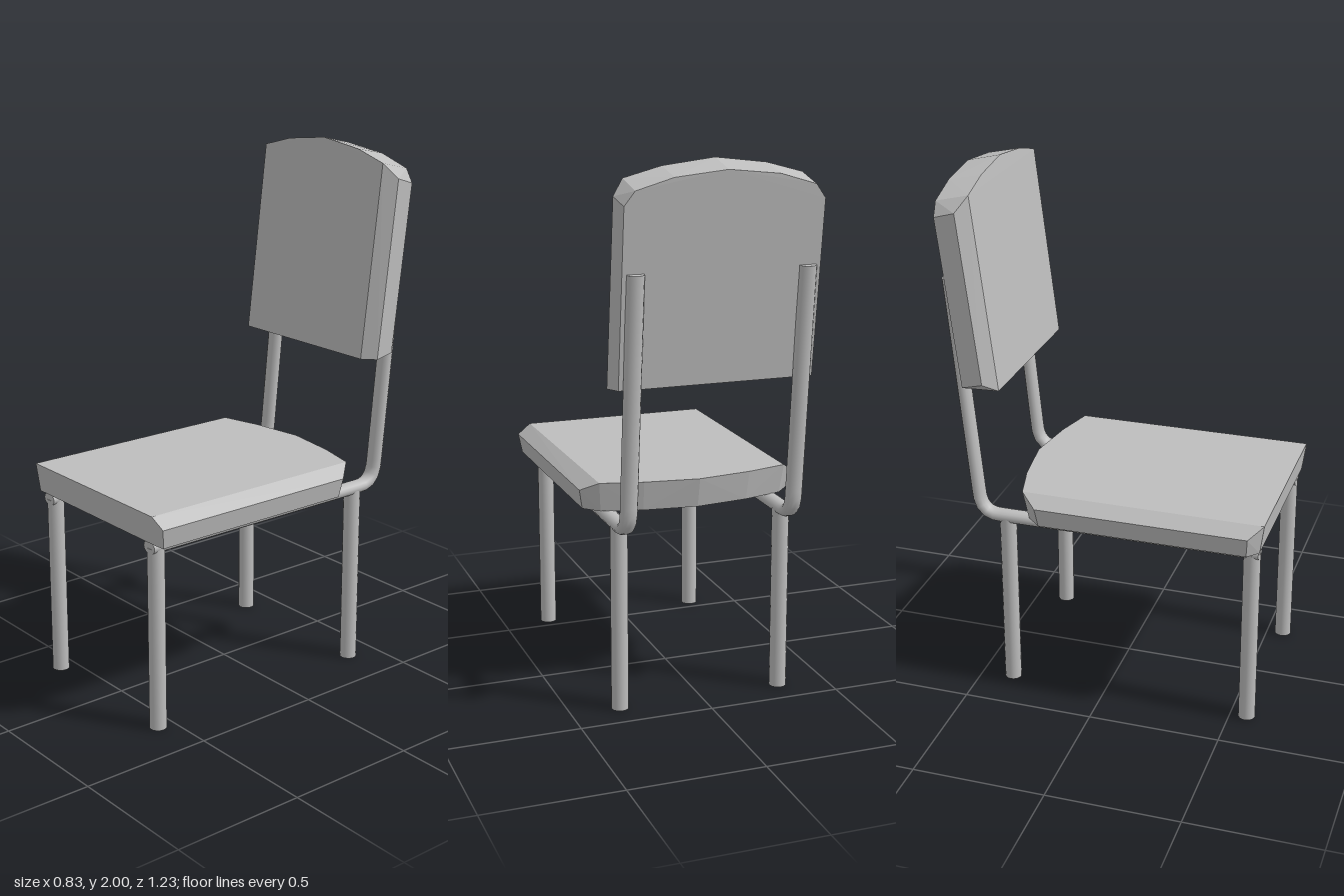
import * as THREE from 'three';
import { ConvexGeometry } from 'three/addons/geometries/ConvexGeometry.js';

const grey = new THREE.MeshStandardMaterial({ color: 0xbebebe });
grey.name = 'grey';

const vectors = (points) => points.map((p) => new THREE.Vector3(...p));

function add(parent, name, geometry) {
  const mesh = new THREE.Mesh(geometry, grey);
  mesh.name = name;
  parent.add(mesh);
  return mesh;
}

// Mirror points that lie off the centre line
const mirrored = (points) => points.flatMap(([x, y, z]) => (x ? [[x, y, z], [-x, y, z]] : [[x, y, z]]));

// Bowed at the back, bevelled along both sides
function seatGeometry() {
  return new ConvexGeometry(vectors([
    ...mirrored([
      [0.363, 0.838, 0.615], [0.36, 0.838, -0.3], [0.205, 0.838, -0.34], [0, 0.838, -0.368],
      [0.415, 0.8, -0.235],
      [0.36, 0.727, 0.6], [0.402, 0.727, -0.225], [0.35, 0.727, -0.28], [0.2, 0.727, -0.32], [0, 0.727, -0.345],
    ]),
    [0.415, 0.8, 0.606], [0.402, 0.727, 0.596],
    [-0.415, 0.8, 0.566], [-0.402, 0.727, 0.56],
  ]));
}

// Leaning cushion with an arched top
function backrestGeometry() {
  return new ConvexGeometry(vectors([
    ...mirrored([
      [0.327, 1.215, -0.393], [0.327, 1.94, -0.481], [0.19, 1.977, -0.486], [0, 2, -0.489],
      [0.373, 1.885, -0.518],
      [0.36, 1.225, -0.522], [0.362, 1.86, -0.6], [0.325, 1.91, -0.606], [0.19, 1.95, -0.611], [0, 1.97, -0.615],
    ]),
    [0.373, 1.215, -0.435], [-0.373, 1.25, -0.439],
  ]));
}

// Seat rail that bends up into the back post, slightly wider than deep
function railGeometry() {
  const path = new THREE.CurvePath();
  const [front, bendIn, corner, bendOut, top] = vectors([
    [0, 0.704, 0.592], [0, 0.704, -0.41], [0, 0.704, -0.482], [0, 0.78, -0.49], [0, 1.63, -0.573],
  ]);
  path.add(new THREE.LineCurve3(front, bendIn));
  path.add(new THREE.QuadraticBezierCurve3(bendIn, corner, bendOut));
  path.add(new THREE.LineCurve3(bendOut, top));
  return new THREE.TubeGeometry(path, 64, 0.025, 14, false).scale(1.28, 1, 1);
}

export function createModel() {
  const chair = new THREE.Group();
  chair.name = 'chair';
  add(chair, 'seat', seatGeometry());
  add(chair, 'backrest', backrestGeometry());

  const rail = railGeometry();
  const cap = new THREE.CircleGeometry(0.025, 14).scale(1.28, 1, 1);
  const leg = new THREE.CylinderGeometry(0.032, 0.032, 0.7, 16);
  for (const [side, x] of [['left', 0.314], ['right', -0.314]]) {
    add(chair, side + 'RailAndPost', rail).position.x = x;
    add(chair, side + 'RailEnd', cap).position.set(x, 0.704, 0.592);
    const postEnd = add(chair, side + 'PostEnd', cap);
    postEnd.position.set(x, 1.63, -0.573);
    postEnd.rotation.x = -Math.PI / 2 - 0.097;
    add(chair, side + 'FrontLeg', leg).position.set(x, 0.35, 0.563);
    add(chair, side + 'BackLeg', leg).position.set(x, 0.35, -0.377);
  }
  return chair;
}
